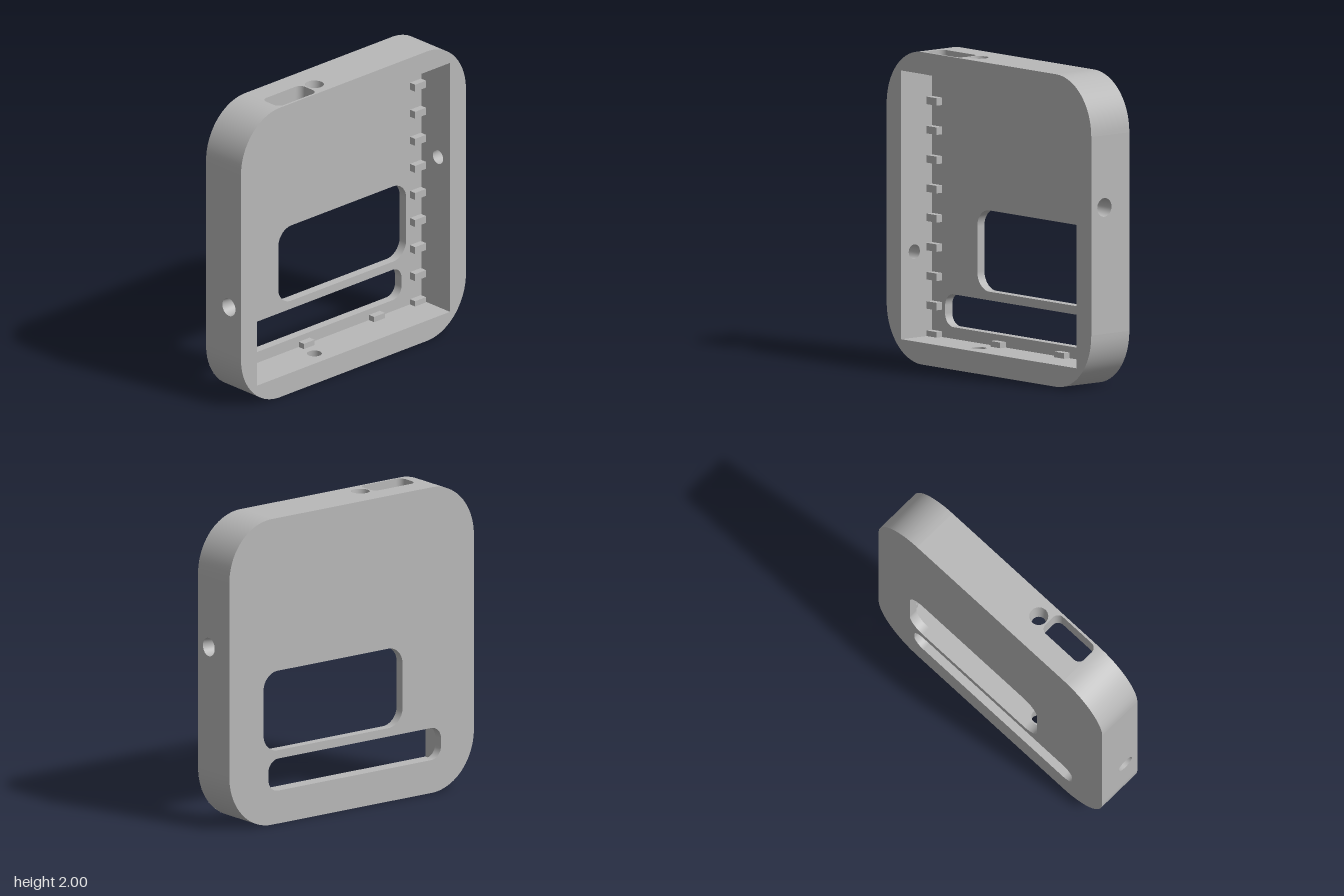
import * as THREE from 'three';

const W = 0.985, H = 1;          // outer half width and half height
const CW = 0.845, CH = 0.86;     // cavity half width and half height
const RX = 0.34, RY = 0.365;     // outer corner radii
const FRONT = 0.16, BACK = -0.16, FLOOR = -0.1;

const rectangle = (x0, y0, x1, y1) => new THREE.Shape([[x0, y0], [x1, y0], [x1, y1], [x0, y1]].map(p => new THREE.Vector2(...p)));

function roundRect(x0, y0, x1, y1, rx, ry = rx) {
  const s = new THREE.Shape();
  const q = Math.PI / 2;
  s.moveTo(x1, y0 + ry);
  [[x1 - rx, y1 - ry], [x0 + rx, y1 - ry], [x0 + rx, y0 + ry], [x1 - rx, y0 + ry]]
    .forEach(([cx, cy], i) => s.absellipse(cx, cy, rx, ry, i * q, (i + 1) * q, false));
  return s;
}

const circle = (u, z, r) => new THREE.Shape().absarc(u, z, r, 0, Math.PI * 2, false);

function withHoles(shape, holes) {
  shape.holes.push(...holes);
  return shape;
}

// Smooth strip joining two outlines at depths za and zb
function strip(a, b, za, zb, closed) {
  const pos = [], index = [], n = a.length;
  for (let i = 0; i < n; i++) pos.push(a[i].x, a[i].y, za, b[i].x, b[i].y, zb);
  for (let i = 0; i < (closed ? n : n - 1); i++) {
    const p = 2 * i, q = 2 * ((i + 1) % n);
    index.push(p, q, p + 1, q, q + 1, p + 1);
  }
  const g = new THREE.BufferGeometry();
  g.setAttribute('position', new THREE.Float32BufferAttribute(pos, 3));
  g.setIndex(index);
  g.computeVertexNormals();
  return g;
}

function ring(path) {
  const pts = path.getPoints(16);
  if (pts[0].distanceTo(pts[pts.length - 1]) < 1e-5) pts.pop();
  return pts;
}

export function createModel() {
  const model = new THREE.Group();
  model.name = 'enclosureFrame';
  const grey = new THREE.MeshStandardMaterial({ color: 0xb8b8b8, side: THREE.DoubleSide });
  grey.name = 'grey';

  const body = new THREE.Group();
  body.name = 'body';
  body.position.y = H;
  model.add(body);

  function add(name, geometry, parent = body) {
    const m = new THREE.Mesh(geometry, grey);
    m.name = name;
    parent.add(m);
    return m;
  }

  // Back panel, cavity floor and the two window openings
  const windows = () => [
    roundRect(-0.41, -0.52, 0.71, 0, 0.115),
    roundRect(-0.72, -0.785, 0.67, -0.575, 0.08),
  ];
  const outline = () => roundRect(-W, -H, W, H, RX, RY);
  const back = new THREE.ShapeGeometry(withHoles(outline(), windows()), 16);
  back.rotateY(Math.PI).scale(-1, 1, 1);
  // restore outward winding after the mirror
  const idx = back.index.array;
  for (let i = 0; i < idx.length; i += 3) [idx[i], idx[i + 1]] = [idx[i + 1], idx[i]];
  add('backPanel', back).position.z = BACK;
  add('cavityFloor', new THREE.ShapeGeometry(withHoles(rectangle(-CW, -CH, CW, CH), windows()), 16)).position.z = FLOOR;
  windows().forEach(w => {
    const r = ring(w);
    add('windowEdge', strip(r, r, FLOOR, BACK, true));
  });

  // Front rim around the square cavity
  add('frontRim', new THREE.ShapeGeometry(withHoles(outline(), [rectangle(-CW, -CH, CW, CH)]), 16)).position.z = FRONT;

  // Rounded outer corners
  for (const sx of [1, -1]) for (const sy of [1, -1]) {
    const arc = new THREE.EllipseCurve(sx * (W - RX), sy * (H - RY), sx * RX, sy * RY, 0, Math.PI / 2).getPoints(16);
    if (sx * sy < 0) arc.reverse();
    add('roundedCorner', strip(arc, arc, BACK, FRONT, false));
  }

  // Side walls: outer face, inner face and linings of the openings
  const tapered = (u, z) => ({ outer: circle(u, z, 0.06), inner: circle(u, z, 0.047) });
  const slot = () => roundRect(0.3, -0.012, 0.64, 0.145, 0.045);
  const sides = [
    { name: 'leftWall', half: H - RY, cavity: CH, out: W, inn: CW, holes: [tapered(0.175, 0.05)] },
    { name: 'topWall', half: W - RX, cavity: CW, out: H, inn: CH, holes: [tapered(0.23, 0.043), { outer: slot(), inner: slot() }] },
    { name: 'rightWall', half: H - RY, cavity: CH, out: W, inn: CW, holes: [tapered(0.31, 0.05)] },
    { name: 'bottomWall', half: W - RX, cavity: CW, out: H, inn: CH, holes: [tapered(-0.23, 0.043)] },
  ];
  const toWall = new THREE.Matrix4().makeBasis(
    new THREE.Vector3(0, 1, 0), new THREE.Vector3(0, 0, 1), new THREE.Vector3(1, 0, 0));
  sides.forEach((s, i) => {
    const wall = new THREE.Group();
    wall.name = s.name;
    wall.rotation.z = i * Math.PI / 2;
    body.add(wall);
    const outer = withHoles(rectangle(-s.half, BACK, s.half, FRONT), s.holes.map(h => h.outer));
    const inner = withHoles(rectangle(-s.cavity, FLOOR, s.cavity, FRONT), s.holes.map(h => h.inner));
    add('outerFace', new THREE.ShapeGeometry(outer, 16).applyMatrix4(toWall).translate(s.out, 0, 0), wall);
    add('innerFace', new THREE.ShapeGeometry(inner, 16).applyMatrix4(toWall).translate(s.inn, 0, 0), wall);
    s.holes.forEach(h => add('holeLining',
      strip(ring(h.inner), ring(h.outer), s.inn, s.out, true).applyMatrix4(toWall), wall));
  });

  // Small support pegs standing on the cavity floor along the walls
  function peg(x, y) {
    const low = Math.max(y - 0.024, 0.14), high = Math.min(y + 0.024, 1.86);
    const g = new THREE.BoxGeometry(0.095, high - low, 0.047);
    add('supportPeg', g, model).position.set(x, (low + high) / 2, FLOOR + 0.0235);
  }
  for (let row = 0; row < 10; row++) {
    const y = 1.835 - row * 0.187;
    peg(-0.796, y);
    peg(0.791, y);
    if (row === 0 || row === 9) [-0.183, 0.432].forEach(x => peg(x, y));
  }

  return model;
}
